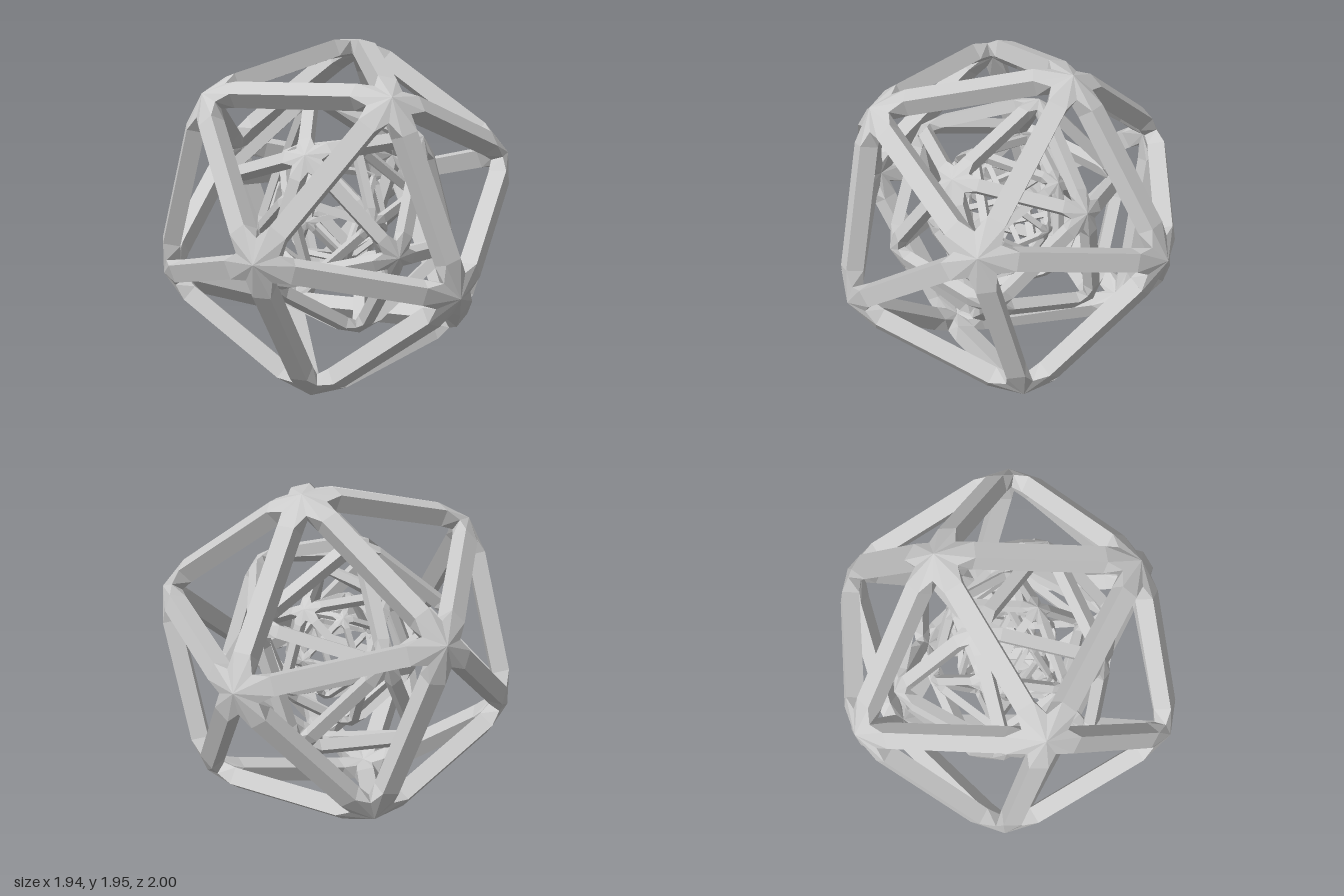
import * as THREE from 'three';
import { mergeGeometries } from 'three/addons/utils/BufferGeometryUtils.js';
import { ConvexGeometry } from 'three/addons/geometries/ConvexGeometry.js';

const RADIUS = 1.04;        // centre to corner of the largest cage
const EDGE = RADIUS * 1.05146;
const HALF_WIDTH = 0.051;   // strut half size along the surface
const HALF_DEPTH = 0.049;   // strut half size towards the centre
const JOINT = 0.2;          // distance from a corner to where its struts become straight
const WEB = 0.13;           // distance from a corner to the crook between two struts
const CENTRE_Y = 0.985;
const LEVELS = 4;
const SHRINK = 0.67;
const TWIST = -Math.PI / 4;

// Twelve icosahedron corners: a pole, the ring of five round it, and their opposites
function icosahedronCorners() {
  const pole = new THREE.Vector3(-0.04, -0.285, 0.955).normalize();
  const u = new THREE.Vector3(-0.25, 0.74, 0.65);
  u.addScaledVector(pole, -u.dot(pole)).normalize();
  const v = new THREE.Vector3().crossVectors(u, pole);
  const half = [pole];
  for (let i = 0; i < 5; i++) {
    const a = (i * 2 * Math.PI) / 5;
    half.push(pole.clone().multiplyScalar(1 / Math.sqrt(5))
      .addScaledVector(u, (2 / Math.sqrt(5)) * Math.cos(a))
      .addScaledVector(v, (2 / Math.sqrt(5)) * Math.sin(a)));
  }
  return [...half, ...half.map((p) => p.clone().negate())].map((p) => p.multiplyScalar(RADIUS));
}

const adjacent = (a, b) => a !== b && a.distanceTo(b) < EDGE * 1.1;

// Square section of the strut from a to b, at a distance from a
function section(a, b, distance) {
  const along = b.clone().sub(a).normalize();
  const out = a.clone().add(b).normalize();
  const side = new THREE.Vector3().crossVectors(out, along);
  const points = [];
  for (const s of [-1, 1]) for (const o of [-1, 1]) {
    points.push(a.clone().addScaledVector(along, distance)
      .addScaledVector(side, s * HALF_WIDTH).addScaledVector(out, o * HALF_DEPTH));
  }
  return points;
}

// Flared strut end: from the straight section to the corner tip and the crooks beside it
function flaredEnd(a, b, corners) {
  const points = section(a, b, JOINT);
  points.push(a.clone().setLength(RADIUS + 0.007), a.clone().setLength(RADIUS - 0.09));
  for (const c of corners.filter((p) => adjacent(p, a) && adjacent(p, b))) {
    const crook = b.clone().add(c).addScaledVector(a, -2).setLength(WEB).add(a);
    const out = a.clone().add(b).add(c).normalize();
    for (const o of [-0.8, 0.8]) points.push(crook.clone().addScaledVector(out, o * HALF_DEPTH));
  }
  return new ConvexGeometry(points);
}

// One open cage: a straight strut and two flared ends along every edge
function cageGeometry() {
  const corners = icosahedronCorners();
  const parts = [];
  corners.forEach((a, i) => {
    for (const b of corners.slice(i + 1).filter((p) => adjacent(a, p))) {
      parts.push(new ConvexGeometry([...section(a, b, JOINT), ...section(a, b, EDGE - JOINT)]));
      parts.push(flaredEnd(a, b, corners), flaredEnd(b, a, corners));
    }
  });
  return mergeGeometries(parts);
}

export function createModel() {
  const model = new THREE.Group();
  model.name = 'nestedIcosahedronCages';
  const material = new THREE.MeshStandardMaterial({ color: 0xcccccc, flatShading: true });
  const geometry = cageGeometry();

  // Each cage is smaller and twisted about the front-back axis
  for (let i = 0; i < LEVELS; i++) {
    const cage = new THREE.Mesh(geometry, material);
    cage.name = `cage${i + 1}`;
    cage.scale.setScalar(SHRINK ** i);
    cage.rotation.z = i * TWIST;
    cage.position.y = CENTRE_Y;
    model.add(cage);
  }
  return model;
}
